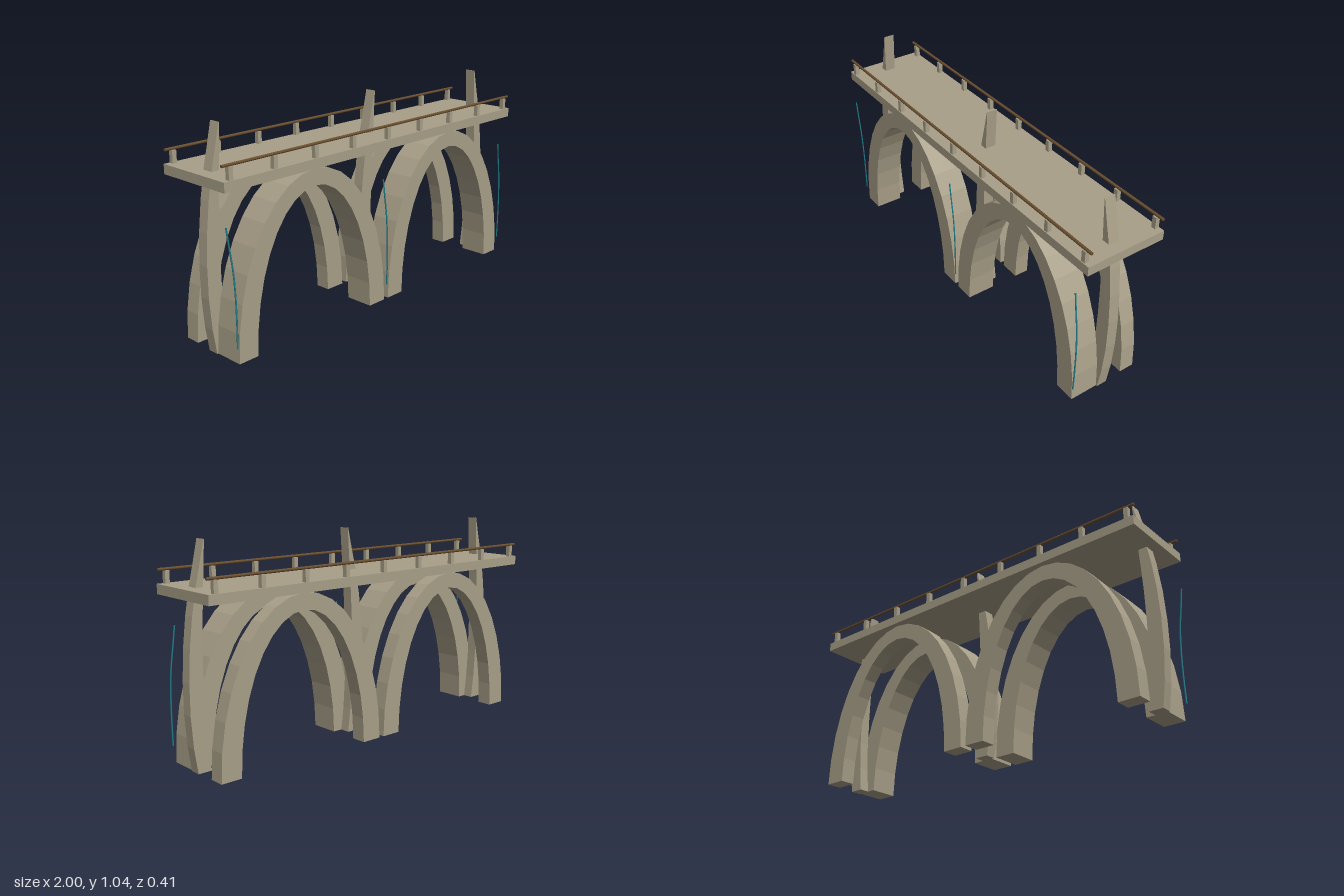
import * as THREE from 'three';

export function createModel() {
  const model = new THREE.Group();
  model.name = 'archBridge';

  const material = (name, color) => {
    const m = new THREE.MeshStandardMaterial({ color });
    m.name = name;
    return m;
  };
  const stone = material('stone', 0xa89f88);
  const wood = material('railWood', 0x6b4f2f);
  const teal = material('tealStrand', 0x1f7f8c);

  const add = (name, geometry, mat, x = 0, y = 0, z = 0) => {
    const mesh = new THREE.Mesh(geometry, mat);
    mesh.name = name;
    mesh.position.set(x, y, z);
    model.add(mesh);
    return mesh;
  };
  const extrude = (points, depth) => new THREE.ExtrudeGeometry(
    new THREE.Shape(points), { depth, bevelEnabled: false });

  // Deck slab
  add('deck', new THREE.BoxGeometry(2, 0.046, 0.414), stone, 0, 0.81, 0);

  // Elliptical arches: a broad front rib and a narrow back rib in each bay
  const steps = 18;
  const arc = (rx, ry) => Array.from({ length: steps + 1 }, (_, i) => {
    const a = Math.PI * i / steps;
    return new THREE.Vector2(rx * Math.cos(a), ry * Math.sin(a));
  });
  const archOutline = [...arc(0.468, 0.785), ...arc(0.362, 0.707).reverse()];
  for (const x of [-0.482, 0.482]) {
    add('frontArch', extrude(archOutline, 0.149), stone, x, 0, 0.043);
    add('backArch', extrude(archOutline, 0.078), stone, x, 0, -0.182);
  }

  // Curved, horn-shaped piers that rise through the deck to a sharp edge
  const outer = [[0, 0], [-0.018, 0.12], [-0.029, 0.27], [-0.029, 0.42],
    [-0.02, 0.57], [-0.003, 0.71], [0.021, 0.84], [0.045, 0.94], [0.067, 1.038]];
  const inner = [[0.07, 1.038], [0.064, 0.94], [0.058, 0.84], [0.05, 0.71],
    [0.044, 0.57], [0.042, 0.42], [0.045, 0.27], [0.055, 0.12], [0.07, 0]];
  const hornOutline = (side) => [...outer, ...inner]
    .map(([x, y]) => new THREE.Vector2(x * side, y));
  for (const [x, side] of [[-0.957, 1], [0, 1], [0.957, -1]]) {
    add('pier', extrude(hornOutline(side), 0.055), stone, x, 0, -0.01);
  }

  // Hanging strands in front of the piers
  const strand = new THREE.CatmullRomCurve3([
    [-0.034, 0.64], [-0.022, 0.55], [-0.007, 0.44], [0, 0.32], [0.001, 0.2], [-0.001, 0.08],
  ].map(([x, y]) => new THREE.Vector3(x, y, 0)));
  for (const x of [-0.96, 0, 0.96]) {
    add('strand', new THREE.TubeGeometry(strand, 20, 0.0037, 6), teal, x, 0, 0.197);
  }

  // Railings with short stone posts
  for (const side of [-1, 1]) {
    for (let i = -4; i <= 4; i++) {
      add('railPost', new THREE.BoxGeometry(0.022, 0.058, 0.022), stone,
        i * 0.24, 0.862, side * 0.192);
    }
    const rail = add('handrail', new THREE.CylinderGeometry(0.007, 0.007, 2, 8), wood,
      0, 0.897, side * 0.193);
    rail.rotation.z = Math.PI / 2;
  }

  return model;
}
